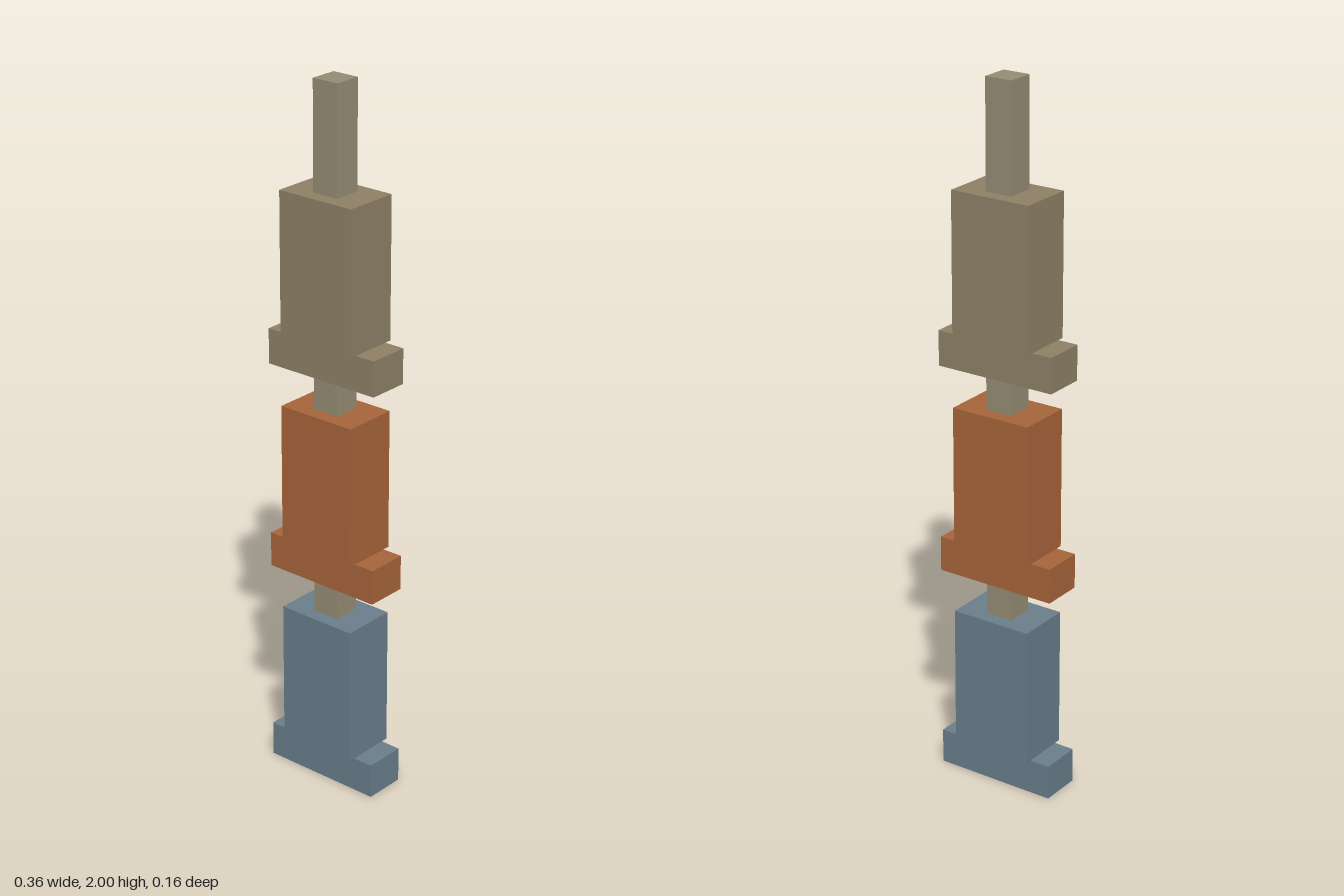
import * as THREE from 'three';

// Adds a box standing on height y, centred on the vertical axis
function addBox(parent, name, color, width, height, depth, y) {
  const mesh = new THREE.Mesh(
    new THREE.BoxGeometry(width, height, depth),
    new THREE.MeshStandardMaterial({ color })
  );
  mesh.name = name;
  mesh.position.y = y + height / 2;
  parent.add(mesh);
}

export function createModel() {
  const model = new THREE.Group();
  model.name = 'stackedTower';

  // Three identical units, from bottom to top: blue-grey, rust, tan
  const unitColors = [0x6a7f8c, 0xa8653a, 0x8f8166];
  const names = ['lowerUnit', 'middleUnit', 'upperUnit'];

  unitColors.forEach((color, i) => {
    const unit = new THREE.Group();
    unit.name = names[i];
    unit.position.y = i * 0.6;

    addBox(unit, 'foot', color, 0.36, 0.1, 0.12, 0);
    addBox(unit, 'body', color, 0.24, 0.4, 0.16, 0.1);
    // Post runs up into the unit above
    addBox(unit, 'post', 0x968d74, 0.08, 0.3, 0.08, 0.5);

    model.add(unit);
  });

  return model;
}
